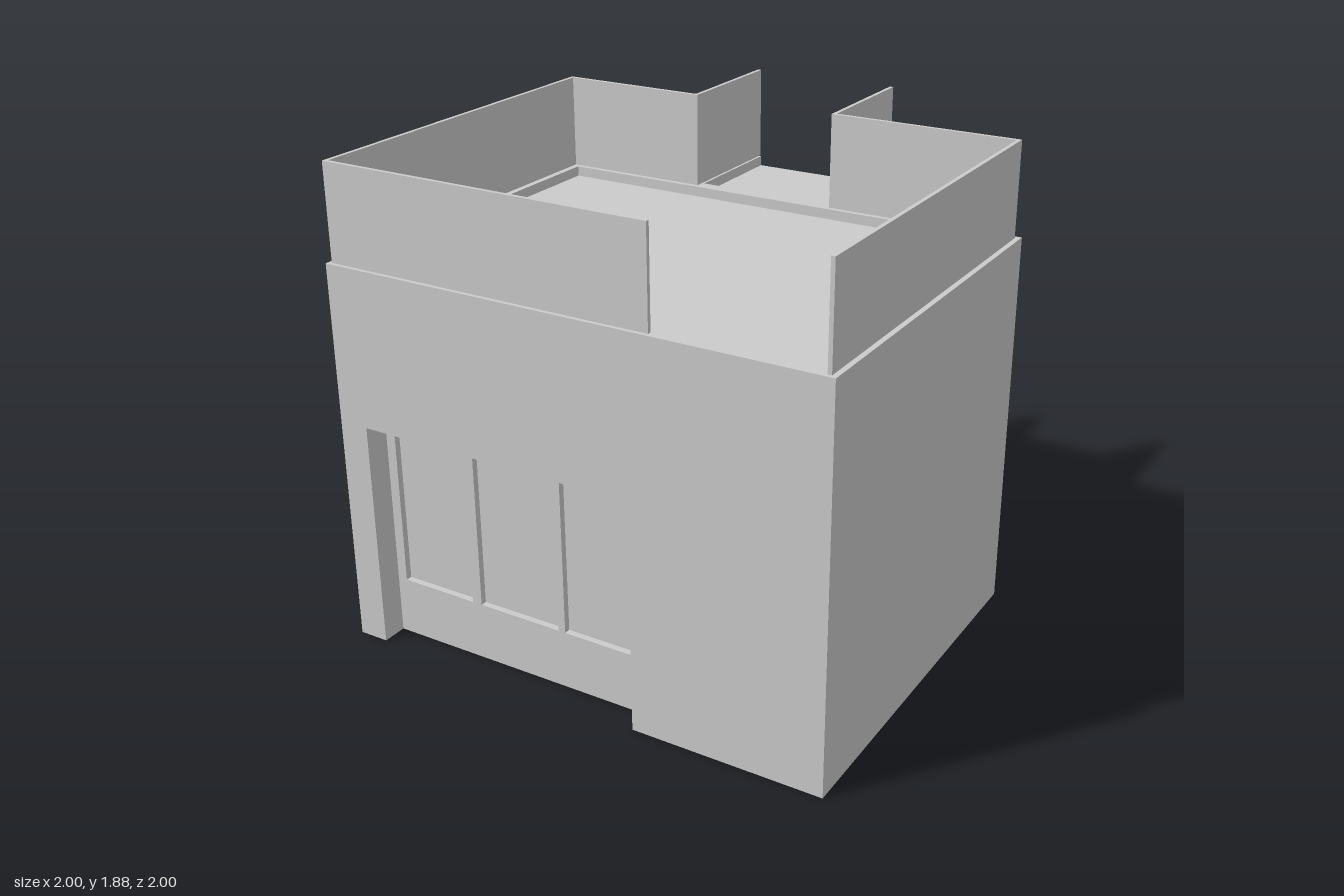
import * as THREE from 'three';

const material = new THREE.MeshStandardMaterial({ color: 0xcccccc, flatShading: true });

// Corner list of a rectangle
const rect = (x0, y0, x1, y1) => [[x0, y0], [x1, y0], [x1, y1], [x0, y1]];
const points = (list) => list.map(([x, y]) => new THREE.Vector2(x, y));

export function createModel() {
  const model = new THREE.Group();

  const add = (name, geometry) => {
    const mesh = new THREE.Mesh(geometry, material);
    mesh.name = name;
    model.add(mesh);
  };
  const extrude = (outline, holes, depth) => {
    const shape = new THREE.Shape(points(outline));
    holes.forEach((hole) => shape.holes.push(new THREE.Path(points(hole))));
    return new THREE.ExtrudeGeometry(shape, { depth, bevelEnabled: false });
  };
  // Slab drawn in x,y and running from z0 to z1
  const frontSlab = (name, outline, holes, z0, z1) =>
    add(name, extrude(outline, holes, z1 - z0).translate(0, 0, z0));
  // Slab drawn in z,y and running from x1 out to x0
  const sideSlab = (name, outline, holes, x0, x1) =>
    add(name, extrude(outline, holes, x1 - x0).rotateY(-Math.PI / 2).translate(x1, 0, 0));
  // Slab drawn in x,z and running from y0 up to y1
  const flatSlab = (name, outline, holes, y0, y1) =>
    add(name, extrude(outline, holes, y1 - y0).rotateX(Math.PI / 2).translate(0, y1, 0));

  const back = -0.515, roof = 1.47, rimTop = 1.51, wallTop = 1.88;

  // Solid core: its faces are the window panes and the roof floor
  flatSlab('buildingCore', rect(-0.93, back, 1, 0.875), [], 0, roof);

  // Front wall with the shopfront opening
  frontSlab('frontWall', [
    [-1, 0], [-0.88, 0], [-0.88, 0.9], [0.25, 0.9], [0.25, 0], [1, 0], [1, roof], [-1, roof],
  ], [], 0.9, 1);
  const shopPanes = [[-0.84, -0.52], [-0.48, -0.13], [-0.1, 0.21]];
  frontSlab('shopfrontFrame', rect(-0.93, 0, 1, roof),
    shopPanes.map(([a, b]) => rect(a, 0.23, b, 0.855)), 0.875, 0.9);

  // Right side wall with the window opening and its four-pane frame
  sideSlab('sideWall', rect(back, 0, 0.9, roof), [rect(-0.345, 0.31, 0.165, 1.07)], -1, -0.95);
  const sidePanes = [];
  for (const [z0, z1] of [[-0.32, -0.105], [-0.075, 0.14]]) {
    for (const [y0, y1] of [[0.35, 0.83], [0.87, 1.04]]) sidePanes.push(rect(z0, y0, z1, y1));
  }
  sideSlab('sideWindowFrame', rect(back, 0, 0.9, roof), sidePanes, -0.95, -0.93);

  // Raised rim around the roof floor
  flatSlab('roofRim', rect(-1, back, 1, 1), [rect(-0.945, -0.46, 0.94, 0.935)], roof, rimTop);

  // Balcony with raised side curbs, open at the back
  frontSlab('balcony', [
    [-0.395, 1.28], [0.25, 1.28], [0.25, rimTop], [0.21, rimTop],
    [0.21, roof], [-0.36, roof], [-0.36, rimTop], [-0.395, rimTop],
  ], [], -0.99, back);

  // Thin parapets, turning out along the balcony sides
  flatSlab('rightParapet', [
    [0.335, 0.985], [-0.985, 0.985], [-0.985, -0.495], [-0.385, -0.495], [-0.385, -1],
    [-0.37, -1], [-0.37, -0.48], [-0.97, -0.48], [-0.97, 0.97], [0.335, 0.97],
  ], [], rimTop, wallTop);
  flatSlab('leftParapet', [
    [0.98, 0.985], [0.98, -0.495], [0.24, -0.495], [0.24, -1],
    [0.225, -1], [0.225, -0.48], [0.965, -0.48], [0.965, 0.985],
  ], [], rimTop, wallTop);

  return model;
}
